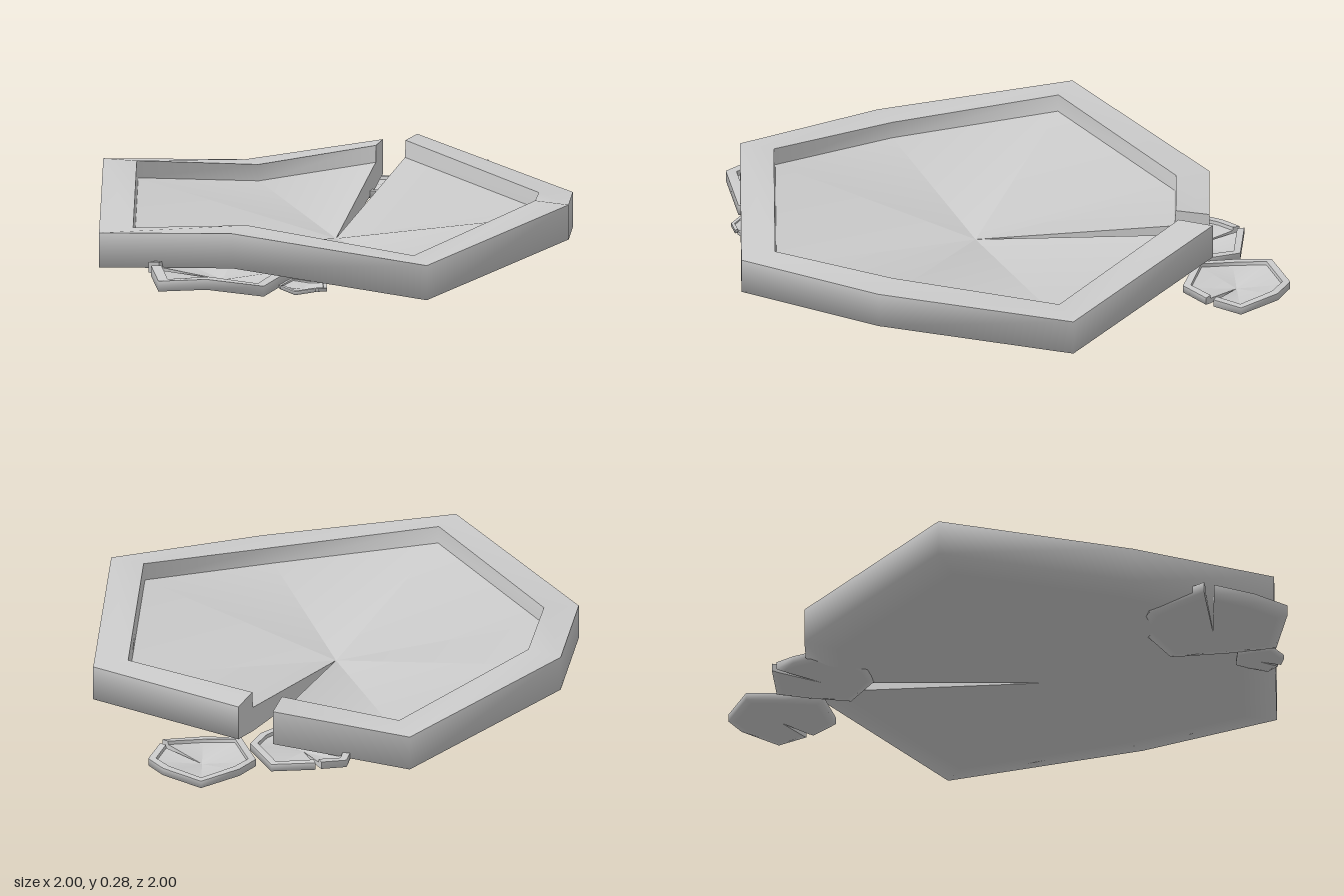
import * as THREE from 'three';
import { mergeGeometries } from 'three/addons/utils/BufferGeometryUtils.js';

// Outline of a leaf from one lip of the notch round to the other: x, z, lift
const OUTLINE = [
  [0.63, -0.75, 0.105], [1, 0, 0], [0.71, 0.71, 0.125], [0, 1, 0], [-0.71, 0.71, 0.125],
  [-1, 0, 0], [-0.71, -0.71, 0.125], [0, -1, 0], [0.5, -0.79, 0.085],
];

// Cross-section from floor centre, over the rim, to underside centre:
// radius scale, height, share of the lift
const SECTION = [
  [0, 0.045, 0], [0.85, 0.095, 0.92], [0.856, 0.16, 0.95], [1, 0.15, 1],
  [1, 0.01, 1], [0.85, 0.0, 0.85], [0, 0.0, 0],
];

const point = ([s, y, k], [x, z, lift]) => [x * s, y + k * lift, z * s];

function surface(positions, index) {
  const g = new THREE.BufferGeometry();
  g.setAttribute('position', new THREE.Float32BufferAttribute(positions.flat(), 3));
  g.setIndex(index);
  g.computeVertexNormals();
  return g;
}

// Skin through a run of section points, smooth within itself
function skin(from, to) {
  const n = OUTLINE.length;
  const positions = [];
  const index = [];
  for (let r = from; r <= to; r++) {
    for (const o of OUTLINE) positions.push(point(SECTION[r], o));
  }
  for (let r = 0; r < to - from; r++) {
    for (let i = 0; i < n - 1; i++) {
      const p = r * n + i;
      const q = p + n;
      index.push(p, q + 1, q, p, p + 1, q + 1);
    }
  }
  return surface(positions, index);
}

// Flat cut through the leaf on one side of the notch
function cut(station, flip) {
  const positions = SECTION.map((s) => point(s, OUTLINE[station]));
  const index = [];
  for (const [a, b] of [[6, 0], [0, 1], [1, 2], [2, 3], [3, 4]]) {
    index.push(5, ...(flip ? [b, a] : [a, b]));
  }
  return surface(positions, index);
}

export function createModel() {
  const model = new THREE.Group();
  model.name = 'lilyPads';
  const material = new THREE.MeshStandardMaterial({ color: 0xcccccc });

  const leaf = mergeGeometries([
    skin(0, 1), // floor
    skin(1, 2), // inner wall of rim
    skin(2, 3), // rim top
    skin(3, 6), // outer wall rolling into the underside
    cut(0, false),
    cut(OUTLINE.length - 1, true),
  ]);

  // name, x, y, z, size, turn in degrees
  const pads = [
    ['largePad', 0, 0, 0, 1, 0],
    ['backOuterPad', 0.79, 0.035, -0.785, 0.212, -108],
    ['backInnerPad', 0.37, 0.03, -0.78, 0.212, 36],
    ['frontPad', -0.66, 0.02, 0.47, 0.3, 102],
    ['tinyPad', -0.43, 0.035, 0.76, 0.1, -129],
  ];
  for (const [name, x, y, z, size, turn] of pads) {
    const pad = new THREE.Mesh(leaf, material);
    pad.name = name;
    pad.position.set(x, y, z);
    pad.scale.setScalar(size);
    pad.rotation.y = THREE.MathUtils.degToRad(turn);
    model.add(pad);
  }
  return model;
}
